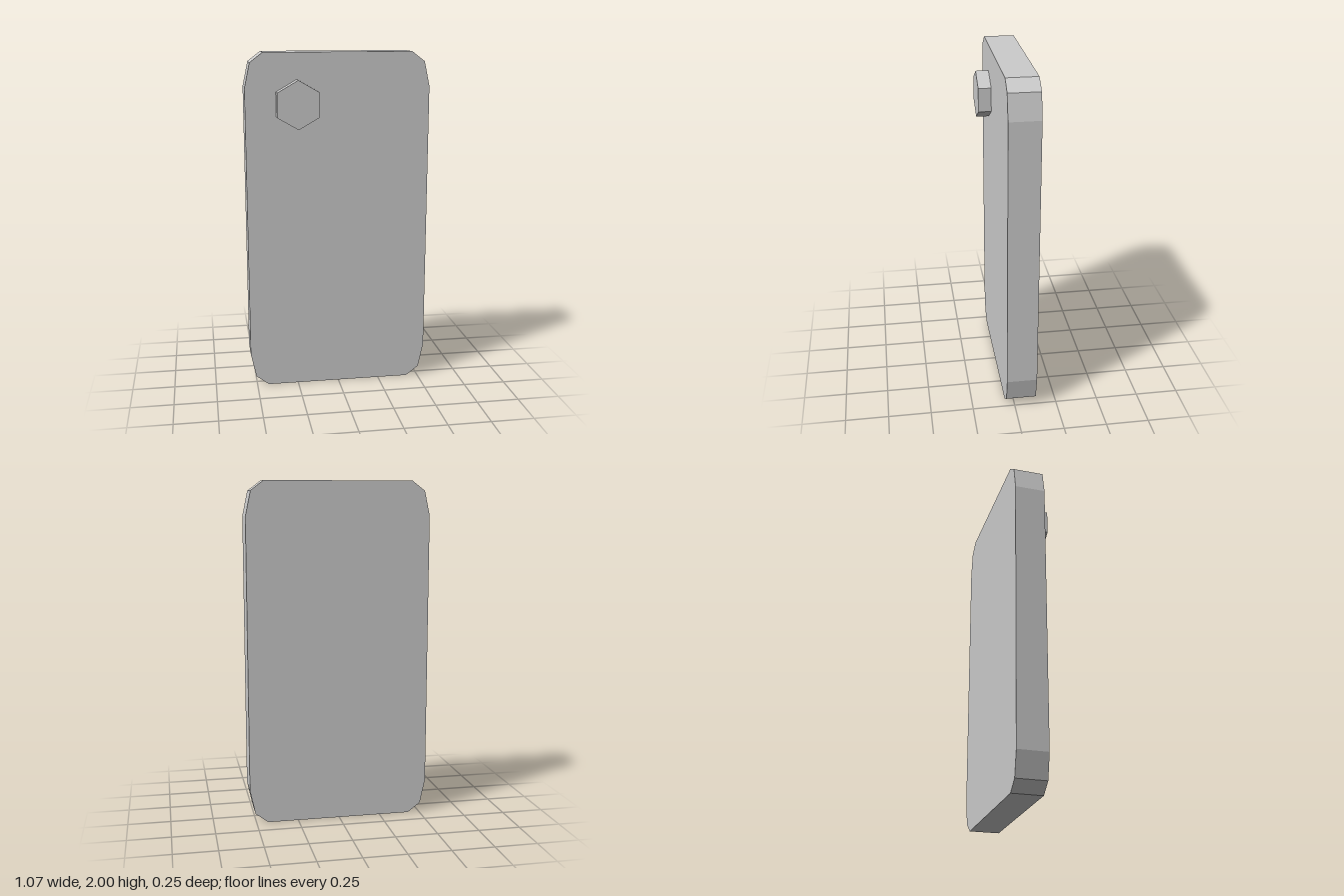
import * as THREE from 'three';

const BACK = -0.126, FACE = 0.051, FRONT = 0.126;

export function createModel() {
  const group = new THREE.Group();
  const material = new THREE.MeshStandardMaterial({ color: 0xcccccc, flatShading: true });

  // Slab with two-step chamfered corners, one corner mirrored to all four
  const corner = [[0.537, 0.8], [0.506, 0.943], [0.431, 1]];
  const mirrored = [...corner].reverse();
  const outline = [
    ...corner,
    ...mirrored.map(([x, y]) => [-x, y]),
    ...corner.map(([x, y]) => [-x, -y]),
    ...mirrored.map(([x, y]) => [x, -y]),
  ].map(([x, y]) => new THREE.Vector2(x, y + 1));
  const body = new THREE.Mesh(
    new THREE.ExtrudeGeometry(new THREE.Shape(outline), { depth: FACE - BACK, bevelEnabled: false }),
    material
  );
  body.name = 'body';
  body.position.z = BACK;
  group.add(body);

  // Hexagonal lens near the upper corner, a point facing up
  const lens = new THREE.Mesh(new THREE.CylinderGeometry(0.14, 0.14, FRONT - FACE, 6), material);
  lens.name = 'lens';
  lens.rotation.x = Math.PI / 2;
  lens.position.set(-0.239, 1.708, (FACE + FRONT) / 2);
  group.add(lens);

  return group;
}
